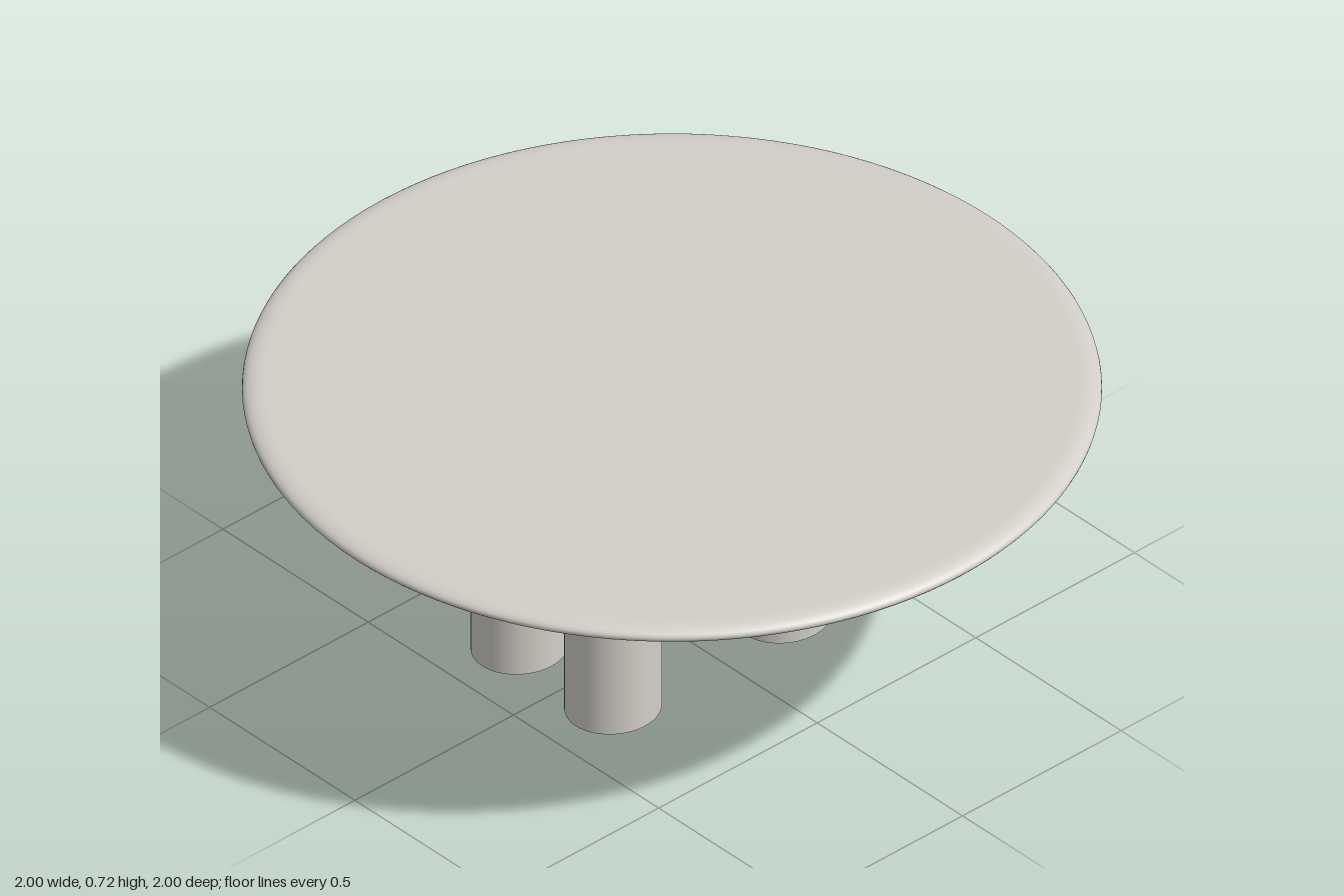
import * as THREE from 'three';

export function createModel() {
  const model = new THREE.Group();
  model.name = 'roundTable';
  const stone = new THREE.MeshStandardMaterial({ color: 0xd3cfc7 });
  stone.name = 'warmGrey';

  // Tabletop: thin disc with an elliptical bullnose edge
  const bottom = 0.674, top = 0.717;
  const mid = (bottom + top) / 2, half = (top - bottom) / 2, edge = 0.05;
  const profile = [new THREE.Vector2(0, bottom), new THREE.Vector2(0.94, bottom)];
  const steps = 14;
  for (let i = 0; i <= steps; i++) {
    const a = -Math.PI / 2 + (Math.PI * i) / steps;
    profile.push(new THREE.Vector2(1 - edge + edge * Math.cos(a), mid + half * Math.sin(a)));
  }
  profile.push(new THREE.Vector2(0.94, top), new THREE.Vector2(0, top));
  const tabletop = new THREE.Mesh(new THREE.LatheGeometry(profile, 128), stone);
  tabletop.name = 'tabletop';
  model.add(tabletop);

  // Four slightly oval column legs, set off centre
  const legGeometry = new THREE.CylinderGeometry(1, 1, bottom, 64);
  legGeometry.scale(0.1175, 1, 0.109);
  const legs = [
    ['frontRightLeg', -0.305, 0.13],
    ['frontLeftLeg', 0.23, 0.13],
    ['backRightLeg', -0.305, -0.192],
    ['backLeftLeg', 0.23, -0.192],
  ];
  for (const [name, x, z] of legs) {
    const leg = new THREE.Mesh(legGeometry, stone);
    leg.name = name;
    leg.position.set(x, bottom / 2, z);
    model.add(leg);
  }
  return model;
}
